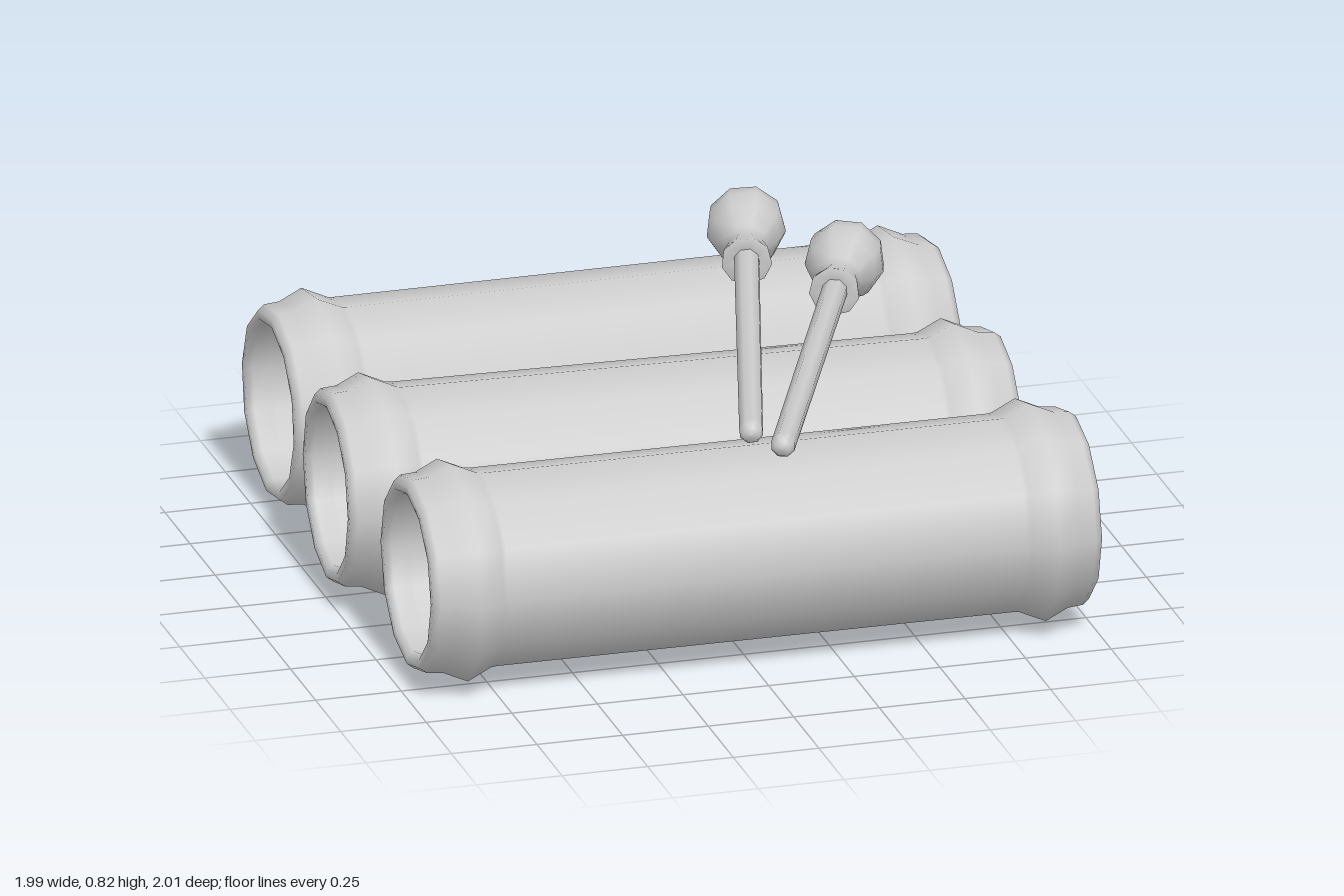
import * as THREE from 'three';

const material = new THREE.MeshStandardMaterial({ color: 0xcccccc });

// Revolve a profile of [radius, height] points
function lathe(name, profile, sides) {
  const points = profile.map(([r, y]) => new THREE.Vector2(r, y));
  const mesh = new THREE.Mesh(new THREE.LatheGeometry(points, sides), material);
  mesh.name = name;
  return mesh;
}

// Open pipe along x with a raised ridge and rounded rim near each end
function makePipe(name, x, z, yaw, roll) {
  const half = [
    [0.283, 0.755], [0.285, 0.77], [0.318, 0.842], [0.287, 0.91],
    [0.283, 0.955], [0.268, 0.975], [0.245, 0.975], [0.232, 0.955], [0.236, 0.9],
  ];
  const lower = half.map(([r, y]) => [r, -y]).reverse();
  const profile = [...lower, ...half, lower[0]];
  const pipe = lathe(name, profile, 12);
  pipe.rotation.set(0, roll, -Math.PI / 2);
  pipe.rotation.order = 'ZYX';
  const group = new THREE.Group();
  group.name = name + 'Group';
  group.add(pipe);
  group.rotation.y = yaw;
  group.position.set(x, 0.32, z);
  return group;
}

// Mallet built along +y, then aimed from the grip end to the head centre
function makeMallet(name, tail, head) {
  const mallet = new THREE.Group();
  mallet.name = name;
  const dir = head.clone().sub(tail);
  const length = dir.length();

  mallet.add(lathe('handle', [
    [0, -0.018], [0.024, -0.014], [0.035, 0.008], [0.035, 0.03], [0.037, length - 0.15],
  ], 8));

  // Flared collar, narrow neck and bulbous head
  const knob = lathe('malletHead', [
    [0.036, -0.235], [0.072, -0.24], [0.07, -0.225], [0.054, -0.16], [0.062, -0.13],
    [0.098, -0.065], [0.113, -0.01], [0.108, 0.04], [0.075, 0.09], [0, 0.117],
  ], 9);
  knob.position.y = length;
  mallet.add(knob);

  mallet.position.copy(tail);
  mallet.quaternion.setFromUnitVectors(new THREE.Vector3(0, 1, 0), dir.normalize());
  return mallet;
}

export function createModel() {
  const model = new THREE.Group();
  model.name = 'pipesAndMallets';

  // Three pipes lying side by side, slightly askew
  model.add(
    makePipe('frontPipe', 0.013, 0.683, -0.007, 0),
    makePipe('middlePipe', -0.017, 0.01, -0.036, 0),
    makePipe('backPipe', 0.008, -0.682, 0.003, 0.1),
  );

  // Two mallets resting across the pipes
  model.add(
    makeMallet('backMallet', new THREE.Vector3(0.037, 0.645, 0.7), new THREE.Vector3(0.42, 0.713, -0.66)),
    makeMallet('frontMallet', new THREE.Vector3(0.092, 0.645, 0.825), new THREE.Vector3(0.655, 0.655, -0.475)),
  );
  return model;
}
